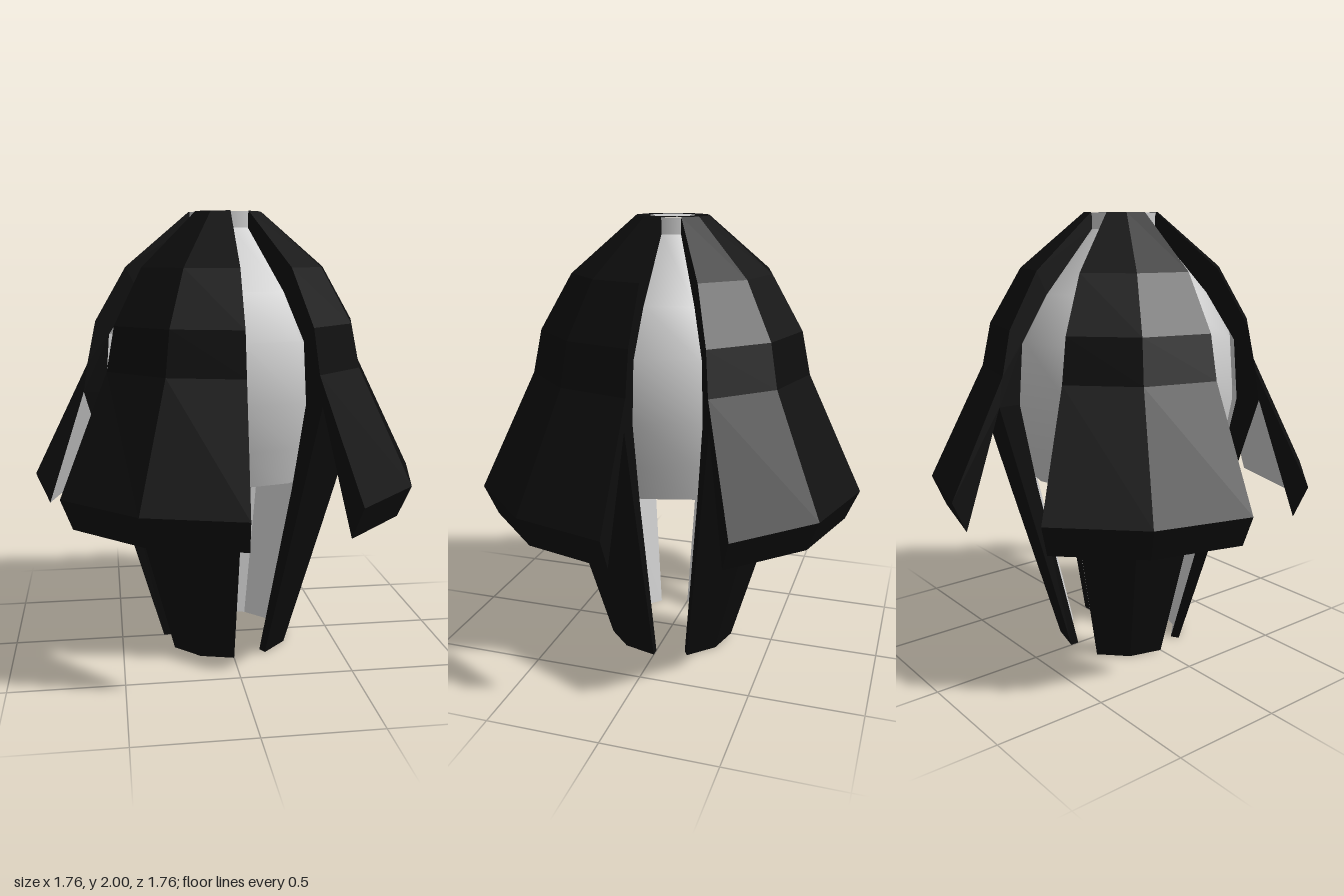
import * as THREE from 'three';

const black = new THREE.MeshStandardMaterial({ color: 0x0d0d0d, flatShading: true });
const grey = new THREE.MeshStandardMaterial({ color: 0xcccccc });
const lining = new THREE.MeshStandardMaterial({ color: 0xcccccc, flatShading: true });

// Panel cross-section (radius, height): down the outside, back up the inside
const profile = [
  [0.165, 2], [0.45, 1.76], [0.59, 1.52], [0.63, 1.33], [0.88, 0.82], [0.82, 0.68], // outer skin and flare
  [0.65, 1.2], [0.5, 0.68], [0.3, 0], [0.26, 0],                                    // under the flare, leg
  [0.47, 0.82], [0.55, 1.2], [0.53, 1.46], [0.40, 1.66], [0.15, 1.94],              // inner skin
];
const greyEdges = new Set([5, 9, 10, 11, 12, 13]); // edges facing inwards

// Profile point swept to a station: 0, 1, 2 = 0, 30, 60 degrees from the back
function place([r, y], station) {
  const taper = Math.max(0, r - 0.65) / 0.23 * 1.4;
  const a = THREE.MathUtils.degToRad(station * 30 + (1 - station) * taper);
  return [r * Math.sin(a), y, -r * Math.cos(a)];
}

function toGeometry(positions) {
  const g = new THREE.BufferGeometry();
  g.setAttribute('position', new THREE.Float32BufferAttribute(positions, 3));
  g.computeVertexNormals();
  return g;
}

function panelGeometries() {
  const shell = [], inner = [];
  profile.forEach((p, i) => {
    const q = profile[(i + 1) % profile.length];
    const out = greyEdges.has(i) ? inner : shell;
    for (let s = 0; s < 2; s++) {
      const p0 = place(p, s), p1 = place(p, s + 1), q0 = place(q, s), q1 = place(q, s + 1);
      out.push(...p1, ...q1, ...q0, ...p1, ...q0, ...p0);
    }
  });
  // Side walls closing both ends of the sweep
  const contour = profile.map(([r, y]) => new THREE.Vector2(r, y));
  for (const tri of THREE.ShapeUtils.triangulateShape(contour, [])) {
    const ccw = THREE.ShapeUtils.area(tri.map(i => contour[i])) > 0 ? tri : [...tri].reverse();
    for (const i of ccw) shell.push(...place(profile[i], 2));
    for (const i of [...ccw].reverse()) shell.push(...place(profile[i], 0));
  }
  return [toGeometry(shell), toGeometry(inner)];
}

export function createModel() {
  const model = new THREE.Group();
  const add = (name, geometry, material, parent = model) => {
    const mesh = new THREE.Mesh(geometry, material);
    mesh.name = name;
    parent.add(mesh);
    return mesh;
  };

  // Four flared panels with legs
  const [shell, inner] = panelGeometries();
  for (let i = 0; i < 4; i++) {
    const panel = new THREE.Group();
    panel.name = 'panel';
    panel.rotation.y = i * Math.PI / 2;
    add('panelShell', shell, black, panel);
    add('panelLining', inner, lining, panel);
    model.add(panel);
  }

  // Bulb inside the panels
  const bulb = [[0.45, 0.84], [0.495, 1.0], [0.53, 1.2], [0.51, 1.46], [0.39, 1.66], [0.145, 1.93]];
  add('bulb', new THREE.LatheGeometry(bulb.map(p => new THREE.Vector2(...p)), 12), grey);
  const base = [[0, 0.81], [0.15, 0.81], [0.45, 0.84]];
  add('bulbBase', new THREE.LatheGeometry(base.map(p => new THREE.Vector2(...p)), 12), black);

  // Top hub: grey rim, black ring and grey disc
  add('hubRim', new THREE.CylinderGeometry(0.16, 0.16, 0.07, 12, 1, true), grey).position.y = 1.963;
  const ring = add('hubRing', new THREE.RingGeometry(0.1, 0.165, 12), black);
  const disc = add('hubDisc', new THREE.CircleGeometry(0.1, 12), grey);
  for (const part of [ring, disc]) {
    part.rotation.x = -Math.PI / 2;
    part.position.y = 2;
  }
  return model;
}
